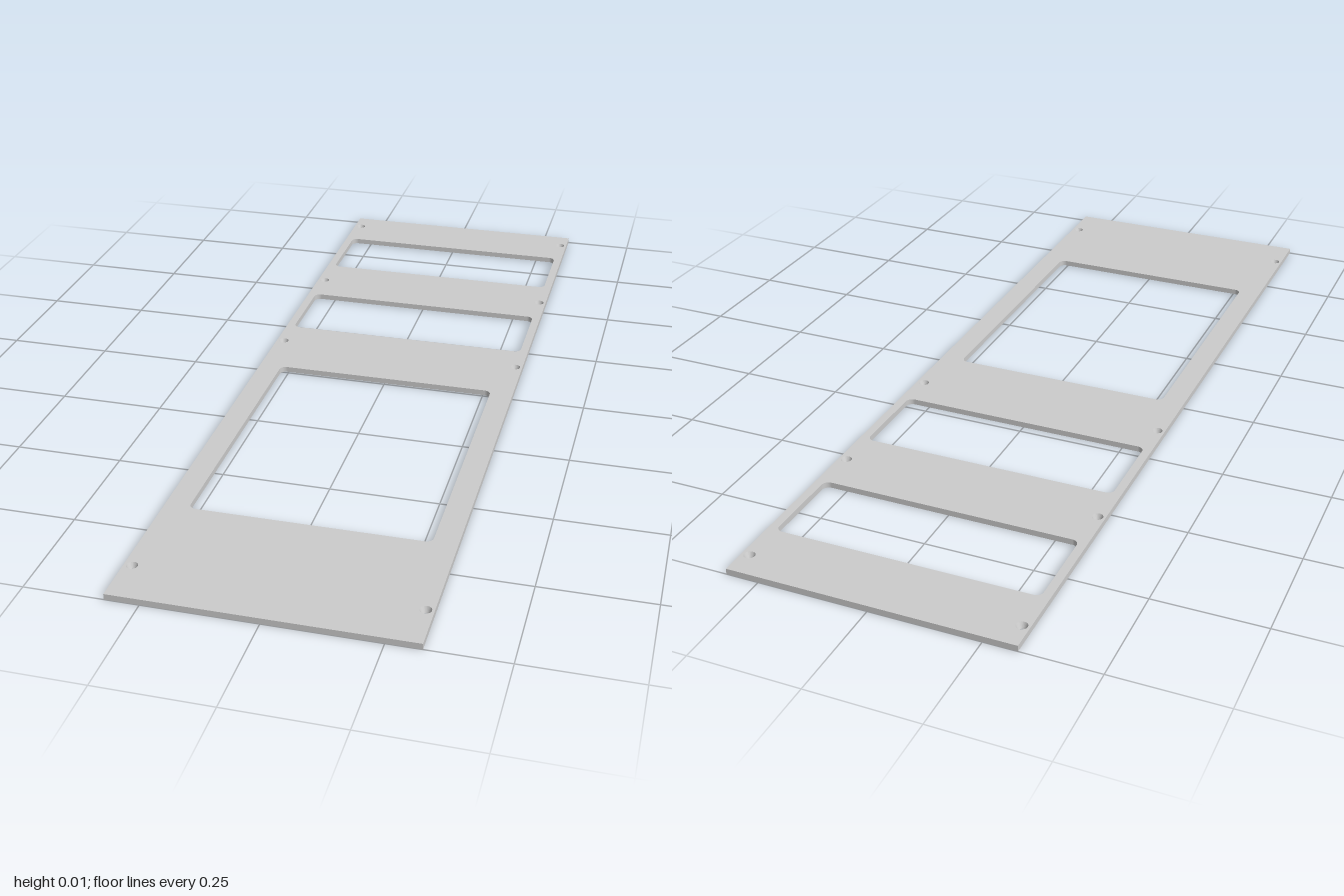
import * as THREE from 'three';

const THICK = 0.0135;
const HALF_W = 0.325;
const SCREW_X = 0.307;
const SCREW_Z = [-0.94, -0.535, -0.145, 0.895];
const SCREW_R = 0.0125;  // countersink radius on the top face
const BORE_R = 0.007;    // radius on the underside

// Window cut-outs: half width, back z, front z
const WINDOWS = [
  [0.305, -0.842, -0.635],
  [0.305, -0.44, -0.23],
  [0.27, -0.005, 0.667],
];

// Rounded rectangle in plan; the shape's y is -z
function roundedWindow(halfW, zBack, zFront, r = 0.016) {
  const p = new THREE.Path();
  const top = -zBack, bottom = -zFront;
  p.absarc(halfW - r, top - r, r, 0, Math.PI / 2);
  p.absarc(-halfW + r, top - r, r, Math.PI / 2, Math.PI);
  p.absarc(-halfW + r, bottom + r, r, Math.PI, Math.PI * 1.5);
  p.absarc(halfW - r, bottom + r, r, Math.PI * 1.5, Math.PI * 2);
  p.closePath();
  return p;
}

export function createModel() {
  const group = new THREE.Group();
  group.name = 'mountingPanel';

  // Plate outline with windows and screw holes
  const outline = new THREE.Shape([
    new THREE.Vector2(-HALF_W, -1), new THREE.Vector2(HALF_W, -1),
    new THREE.Vector2(HALF_W, 1), new THREE.Vector2(-HALF_W, 1),
  ]);
  for (const w of WINDOWS) outline.holes.push(roundedWindow(...w));

  const screws = [];
  for (const z of SCREW_Z) for (const side of [-1, 1]) {
    screws.push([side * SCREW_X, z]);
    outline.holes.push(new THREE.Path().absarc(side * SCREW_X, -z, SCREW_R, 0, Math.PI * 2));
  }

  const geo = new THREE.ExtrudeGeometry(outline, { depth: THICK, bevelEnabled: false, curveSegments: 12 });
  geo.rotateX(-Math.PI / 2);

  // Countersinks: draw the lower rim of each screw hole inward
  const pos = geo.attributes.position;
  for (let i = 0; i < pos.count; i++) {
    if (pos.getY(i) > THICK / 2) continue;
    for (const [cx, cz] of screws) {
      const dx = pos.getX(i) - cx, dz = pos.getZ(i) - cz;
      if (Math.hypot(dx, dz) < SCREW_R * 1.05) {
        const k = BORE_R / SCREW_R;
        pos.setXYZ(i, cx + dx * k, pos.getY(i), cz + dz * k);
        break;
      }
    }
  }
  geo.computeVertexNormals();

  const plate = new THREE.Mesh(geo, new THREE.MeshStandardMaterial({ color: 0xcccccc }));
  plate.name = 'panelPlate';
  group.add(plate);
  return group;
}
